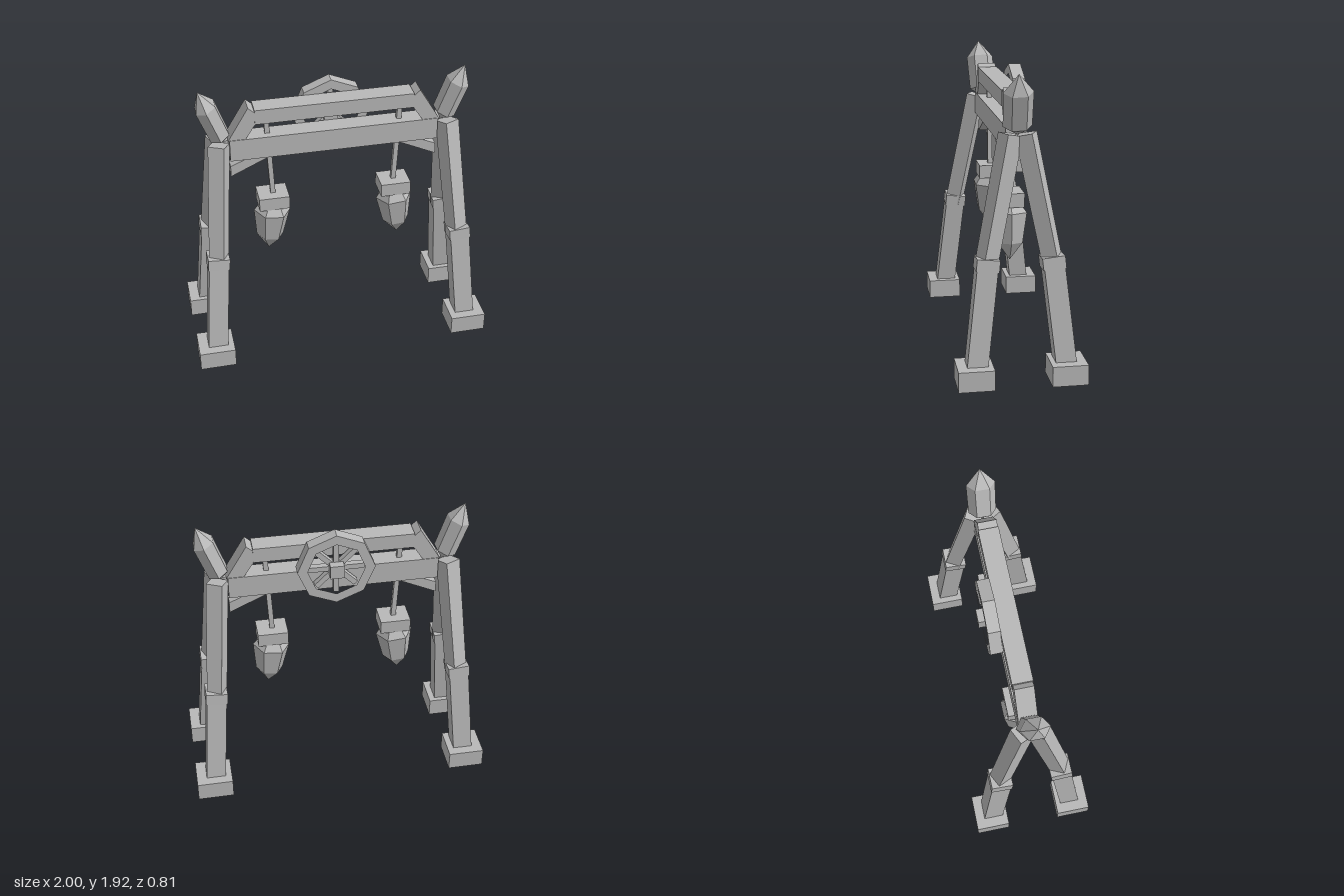
import * as THREE from 'three';

export function createModel() {
  const model = new THREE.Group();
  const stone = new THREE.MeshStandardMaterial({ color: 0xb8b8b8, flatShading: true });
  stone.name = 'pale grey';

  function add(name, geometry, x = 0, y = 0, z = 0) {
    const mesh = new THREE.Mesh(geometry, stone);
    mesh.name = name;
    mesh.position.set(x, y, z);
    model.add(mesh);
    return mesh;
  }
  const box = (name, w, h, d, x, y, z) => add(name, new THREE.BoxGeometry(w, h, d), x, y, z);

  // Square post running from a to b, turned about its own axis by yaw
  function post(name, a, b, widthA, widthB, yaw = 0) {
    const from = new THREE.Vector3(...a), to = new THREE.Vector3(...b);
    const dir = to.clone().sub(from);
    const geometry = new THREE.CylinderGeometry(widthB * Math.SQRT1_2, widthA * Math.SQRT1_2, dir.length(), 4);
    geometry.rotateY(Math.PI / 4 + yaw);
    const mid = from.add(to).multiplyScalar(0.5);
    const mesh = add(name, geometry, mid.x, mid.y, mid.z);
    mesh.quaternion.setFromUnitVectors(new THREE.Vector3(0, 1, 0), dir.normalize());
    return mesh;
  }

  // Outline in x and y, given thickness around z
  function plate(name, points, depth, holePoints, z = 0) {
    const shape = new THREE.Shape(points.map(p => new THREE.Vector2(...p)));
    if (holePoints) shape.holes.push(new THREE.Path(holePoints.map(p => new THREE.Vector2(...p))));
    const geometry = new THREE.ExtrudeGeometry(shape, { depth, bevelEnabled: false });
    geometry.translate(0, 0, -depth / 2);
    return add(name, geometry, 0, 0, z);
  }

  // Six-sided body from radius and height pairs
  const hexBody = (profile, start = 0) =>
    new THREE.LatheGeometry(profile.map(p => new THREE.Vector2(...p)), 6, start);

  // Cross beams
  box('mainBeam', 1.36, 0.15, 0.13, 0, 1.505, 0);
  box('topBeam', 1.03, 0.1, 0.13, 0, 1.73, 0);

  for (const s of [-1, 1]) {
    const side = points => points.map(([x, y]) => [s * x, y]);

    // Legs: foot block, lower post, collar and turned upper post
    for (const t of [-1, 1]) {
      box('foot', 0.24, 0.13, 0.225, s * 0.88, 0.08, t * 0.29);
      post('lowerLeg', [s * 0.877, 0.013, t * 0.29], [s * 0.817, 0.78, t * 0.202], 0.13, 0.13);
      post('legCollar', [s * 0.821, 0.73, t * 0.207], [s * 0.815, 0.805, t * 0.199], 0.142, 0.142);
      post('upperLeg', [s * 0.813, 0.745, t * 0.208], [s * 0.748, 1.55, t * 0.047], 0.102, 0.108, s * t * 0.45);
    }

    // Diagonals joining the two beams, and braces under the main beam
    plate('topDiagonal', side([[0.69, 1.575], [0.555, 1.8], [0.505, 1.755], [0.505, 1.69], [0.58, 1.575]]), 0.122);
    plate('lowerBrace', side([[0.68, 1.3], [0.37, 1.445], [0.52, 1.445], [0.68, 1.375]]), 0.08);

    // Crystal finial, leaning outward
    const crystal = add('crystal', hexBody([[0, 0], [0.09, 0.06], [0.093, 0.29], [0, 0.41]]), s * 0.715, 1.54, 0);
    crystal.scale.x = 0.8;
    crystal.rotation.set(0.04, 0, -s * 0.353);

    // Hanging lantern
    post('lanternRod', [s * 0.407, 1.1, 0], [s * 0.438, 1.7, 0], 0.032, 0.032);
    box('lanternCap', 0.2, 0.09, 0.17, s * 0.41, 1.075, 0);
    const lantern = add('lantern',
      hexBody([[0, -0.31], [0.09, -0.195], [0.122, 0], [0.08, 0.055], [0, 0.055]], Math.PI / 6), s * 0.417, 0.98, 0);
    lantern.rotation.z = s * 0.1;
  }

  // Octagonal wheel on the back of the beams
  const octagon = r => Array.from({ length: 8 }, (_, i) =>
    [r * Math.sin(i * Math.PI / 4), r * Math.cos(i * Math.PI / 4)]);
  plate('wheelRim', octagon(0.25), 0.08, octagon(0.185), -0.103).position.y = 1.62;
  for (let i = 0; i < 4; i++) {
    box('wheelSpoke', 0.36, 0.035, 0.04, 0, 1.62, -0.105).rotation.z = i * Math.PI / 4;
  }
  box('wheelHub', 0.09, 0.09, 0.11, 0, 1.62, -0.122);

  return model;
}
